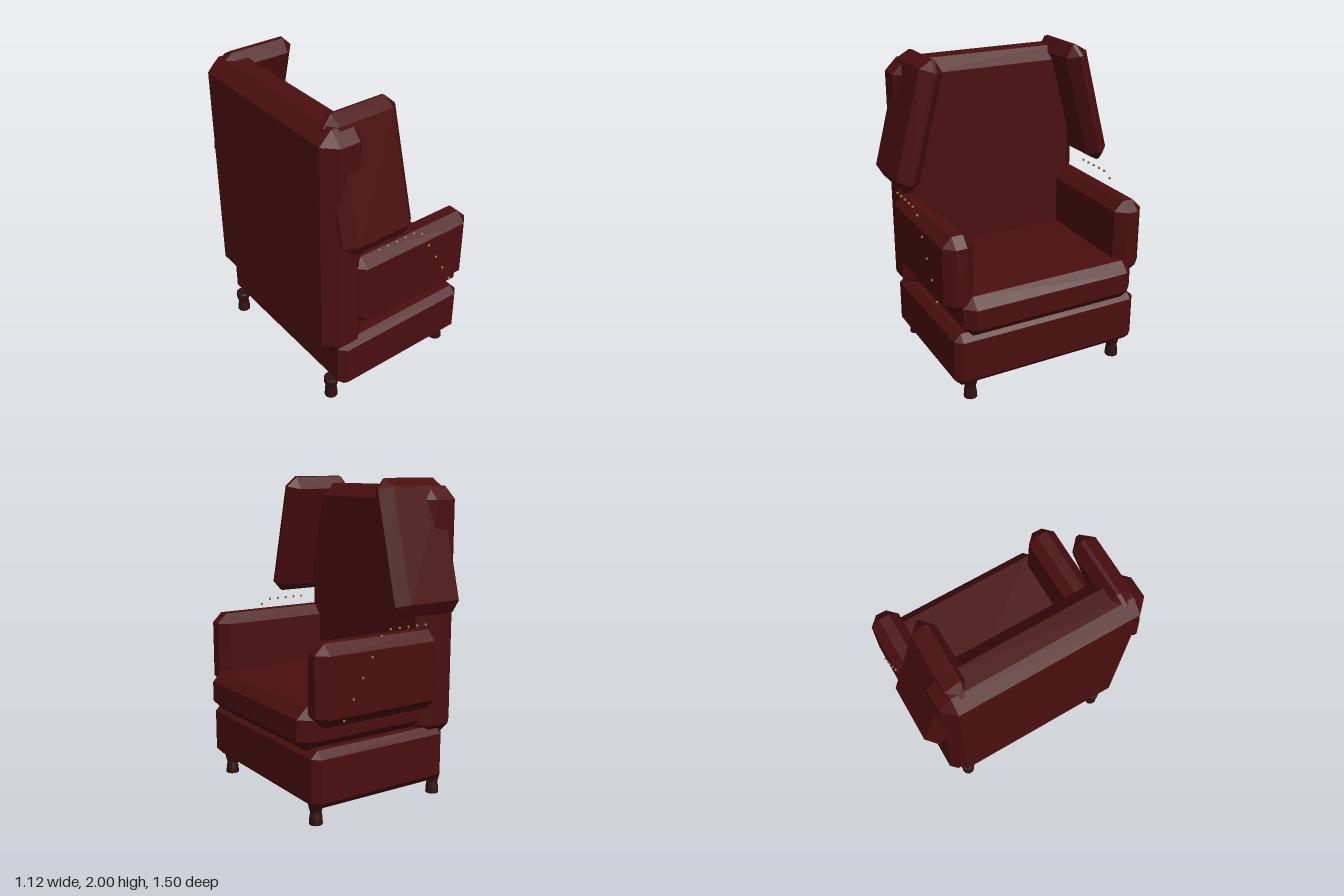
import * as THREE from 'three';
import { ConvexGeometry } from 'three/addons/geometries/ConvexGeometry.js';

const mat = (name, color) => {
  const m = new THREE.MeshStandardMaterial({ color });
  m.name = name;
  return m;
};

// Box with every edge and corner cut by a single flat bevel
function bevelBox(w, h, d, c) {
  const pts = [];
  for (const x of [-1, 1]) for (const y of [-1, 1]) for (const z of [-1, 1]) {
    for (let axis = 0; axis < 3; axis++) {
      const half = [w / 2 - c, h / 2 - c, d / 2 - c];
      half[axis] += c;
      pts.push(new THREE.Vector3(x * half[0], y * half[1], z * half[2]));
    }
  }
  return new ConvexGeometry(pts);
}

export function createModel() {
  const chair = new THREE.Group();
  chair.name = 'wingChair';
  const leather = mat('oxblood leather', 0x4a0e0e);
  const wood = mat('dark wood', 0x32100f);
  const brass = mat('brass', 0x8f7036);

  const add = (name, geometry, material, x, y, z) => {
    const mesh = new THREE.Mesh(geometry, material);
    mesh.name = name;
    mesh.position.set(x, y, z);
    chair.add(mesh);
    return mesh;
  };
  // Bevelled block given by its limits on each axis
  const block = (name, [x0, x1], [y0, y1], [z0, z1], c) =>
    add(name, bevelBox(x1 - x0, y1 - y0, z1 - z0, c), leather,
      (x0 + x1) / 2, (y0 + y1) / 2, (z0 + z1) / 2);

  // Upholstered body, facing +x
  block('base', [-0.465, 0.51], [0.12, 0.475], [-0.64, 0.64], 0.045);
  block('seatCushion', [-0.36, 0.56], [0.46, 0.72], [-0.59, 0.59], 0.065);
  block('backrest', [-0.56, -0.27], [0.41, 1.95], [-0.64, 0.64], 0.08);

  // Turned leg: collar, waist and foot
  const legGeo = new THREE.LatheGeometry([
    [0, 0], [0.043, 0], [0.041, 0.035], [0.035, 0.075],
    [0.047, 0.12], [0.047, 0.14], [0.042, 0.15], [0, 0.15],
  ].map(([r, y]) => new THREE.Vector2(r, y)), 10).toNonIndexed();
  legGeo.computeVertexNormals();

  const wingGeo = bevelBox(0.49, 0.82, 0.152, 0.065);
  const studGeo = new THREE.SphereGeometry(0.009, 6, 4);

  for (const s of [-1, 1]) {
    const side = s > 0 ? 'Front' : 'Rear';
    block('arm', [-0.38, 0.5], [0.61, 1.1], s > 0 ? [0.49, 0.685] : [-0.685, -0.49], 0.062);

    // Wing leaning inwards at the top
    const wing = add('wing', wingGeo, leather, -0.255, 1.6, s * 0.588);
    wing.rotation.x = -s * 0.26;

    for (const x of [-0.467, 0.43]) add('leg', legGeo, wood, x, 0, s * 0.523);

    // Stud row: level run, then sloping down towards the front
    for (let i = 0; i < 10; i++) {
      const y = i < 5 ? 1.147 : 1.115 - (i - 5) * 0.115;
      add('stud', studGeo, brass, -0.24 + i * 0.065, y, s * 0.688);
    }
  }
  return chair;
}
